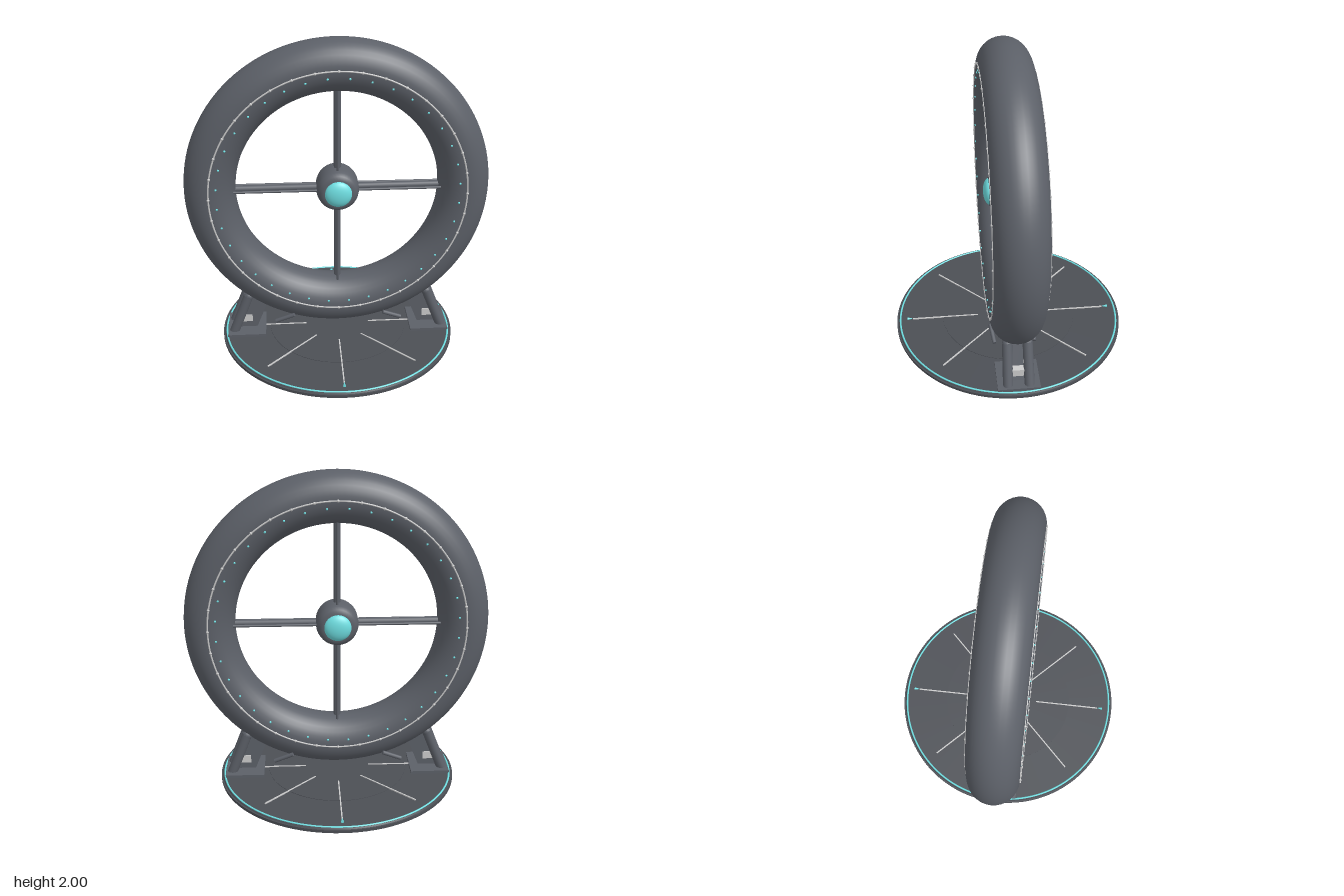
import * as THREE from 'three';

const mat = (color, opts = {}) => new THREE.MeshStandardMaterial({ color, ...opts });

export function createModel() {
  const root = new THREE.Group();
  const dark = mat(0x5c6068), deck = mat(0x4c4f55), light = mat(0xcccccc), cyan = mat(0x6fdfe2);
  const CY = 1.045, R = 0.795, TUBE = 0.16;

  const add = (name, geo, material, parent = root, x = 0, y = 0, z = 0) => {
    const m = new THREE.Mesh(geo, material);
    m.name = name;
    m.position.set(x, y, z);
    parent.add(m);
    return m;
  };
  // Round bar between two points
  const bar = (name, a, b, r, material, parent = root, sides = 16) => {
    const p = new THREE.Vector3(...a), q = new THREE.Vector3(...b);
    const m = add(name, new THREE.CylinderGeometry(r, r, p.distanceTo(q), sides), material, parent);
    m.position.copy(p).lerp(q, 0.5);
    m.quaternion.setFromUnitVectors(new THREE.Vector3(0, 1, 0), q.sub(p).normalize());
    return m;
  };

  // Wheel: main ring, hub and spokes, centred on the axle
  const wheel = new THREE.Group();
  wheel.name = 'wheel';
  wheel.position.y = CY;
  root.add(wheel);
  add('mainRing', new THREE.TorusGeometry(R, TUBE, 32, 128), dark, wheel);

  // Seam and rivets on both faces of the ring
  const rivetGeo = new THREE.SphereGeometry(0.009, 8, 6);
  const studGeo = new THREE.SphereGeometry(0.007, 8, 6);
  for (const s of [1, -1]) {
    add('seam', new THREE.TorusGeometry(R, 0.005, 6, 128), light, wheel, 0, 0, s * TUBE);
    for (let i = 0; i < 36; i++) {
      const a = i * Math.PI / 18, b = a + Math.PI / 36;
      add('rivet', rivetGeo, light, wheel, R * Math.cos(a), R * Math.sin(a), s * 0.16);
      add('stud', studGeo, cyan, wheel, 0.75 * Math.cos(b), 0.75 * Math.sin(b), s * 0.154);
    }
  }

  // Hub: rounded barrel along z with a lens at each end
  const half = [[0.133, 0.0], [0.133, 0.05], [0.127, 0.08], [0.113, 0.105], [0.09, 0.122], [0, 0.126]];
  const profile = [...half.slice(1).reverse().map(([r, z]) => [r, -z]), ...half]
    .map(([r, z]) => new THREE.Vector2(r, z));
  add('hub', new THREE.LatheGeometry(profile, 40), dark, wheel).rotation.x = Math.PI / 2;
  for (const s of [1, -1]) {
    add('lens', new THREE.SphereGeometry(0.085, 32, 20), cyan, wheel, 0, 0, s * 0.117).scale.z = 0.48;
  }

  // Four spokes, each a thick rod flanked by two thin ones
  for (let i = 0; i < 4; i++) {
    const spoke = new THREE.Group();
    spoke.name = 'spoke';
    spoke.rotation.z = i * Math.PI / 2;
    wheel.add(spoke);
    bar('spokeCore', [0.1, 0, 0], [0.645, 0, 0], 0.022, dark, spoke);
    for (const s of [1, -1]) bar('spokeRod', [0.1, 0, s * 0.055], [0.655, 0, s * 0.055], 0.008, dark, spoke, 10);
  }

  // Round base: plate, step, inner disc and glowing rim
  add('basePlate', new THREE.CylinderGeometry(0.765, 0.765, 0.018, 96), deck, root, 0, 0.009, 0);
  add('baseStep', new THREE.CylinderGeometry(0.75, 0.755, 0.008, 96), deck, root, 0, 0.022, 0);
  add('innerDisc', new THREE.CylinderGeometry(0.45, 0.45, 0.004, 64), deck, root, 0, 0.027, 0);
  add('rimLight', new THREE.TorusGeometry(0.742, 0.006, 8, 128), cyan, root, 0, 0.026, 0).rotation.x = Math.PI / 2;

  // Radial lines on the base, with pointers on the fore and aft ones
  for (let i = 0; i < 8; i++) {
    const ray = new THREE.Group();
    ray.name = 'radialMark';
    ray.rotation.y = i * Math.PI / 4;
    root.add(ray);
    add('radialLine', new THREE.BoxGeometry(0.008, 0.008, 0.45), light, ray, 0, 0.029, 0.433);
    if (i % 4 === 0) {
      add('pointer', new THREE.ConeGeometry(0.01, 0.04, 8), cyan, ray, 0, 0.033, 0.675).rotation.x = -Math.PI / 2;
    }
  }

  // Supports on both sides
  for (const s of [1, -1]) {
    const support = new THREE.Group();
    support.name = s > 0 ? 'leftSupport' : 'rightSupport';
    root.add(support);
    add('footPlate', new THREE.BoxGeometry(0.25, 0.022, 0.27), dark, support, s * 0.605, 0.034, 0);
    const tilt = -0.38;
    const strut = add('centreStrut', new THREE.BoxGeometry(0.11, 0.28, 0.07), dark, support, s * 0.555, 0.15, 0);
    strut.rotation.z = -s * tilt;
    add('sleeve', new THREE.BoxGeometry(0.095, 0.05, 0.08), light, support, s * 0.615, 0.112, 0);
    for (const z of [1, -1]) {
      bar('strutRod', [s * 0.69, 0.035, z * 0.068], [s * 0.585, 0.305, z * 0.064], 0.032, dark, support);
      add('strutCap', new THREE.SphereGeometry(0.032, 16, 10), dark, support, s * 0.585, 0.3, z * 0.064);
      // Short guide pegs beside the ring
      bar('guidePeg', [s * 0.41, 0.142, z * 0.128], [s * 0.29, 0.195, z * 0.145], 0.013, dark, support, 12);
    }
  }
  return root;
}
